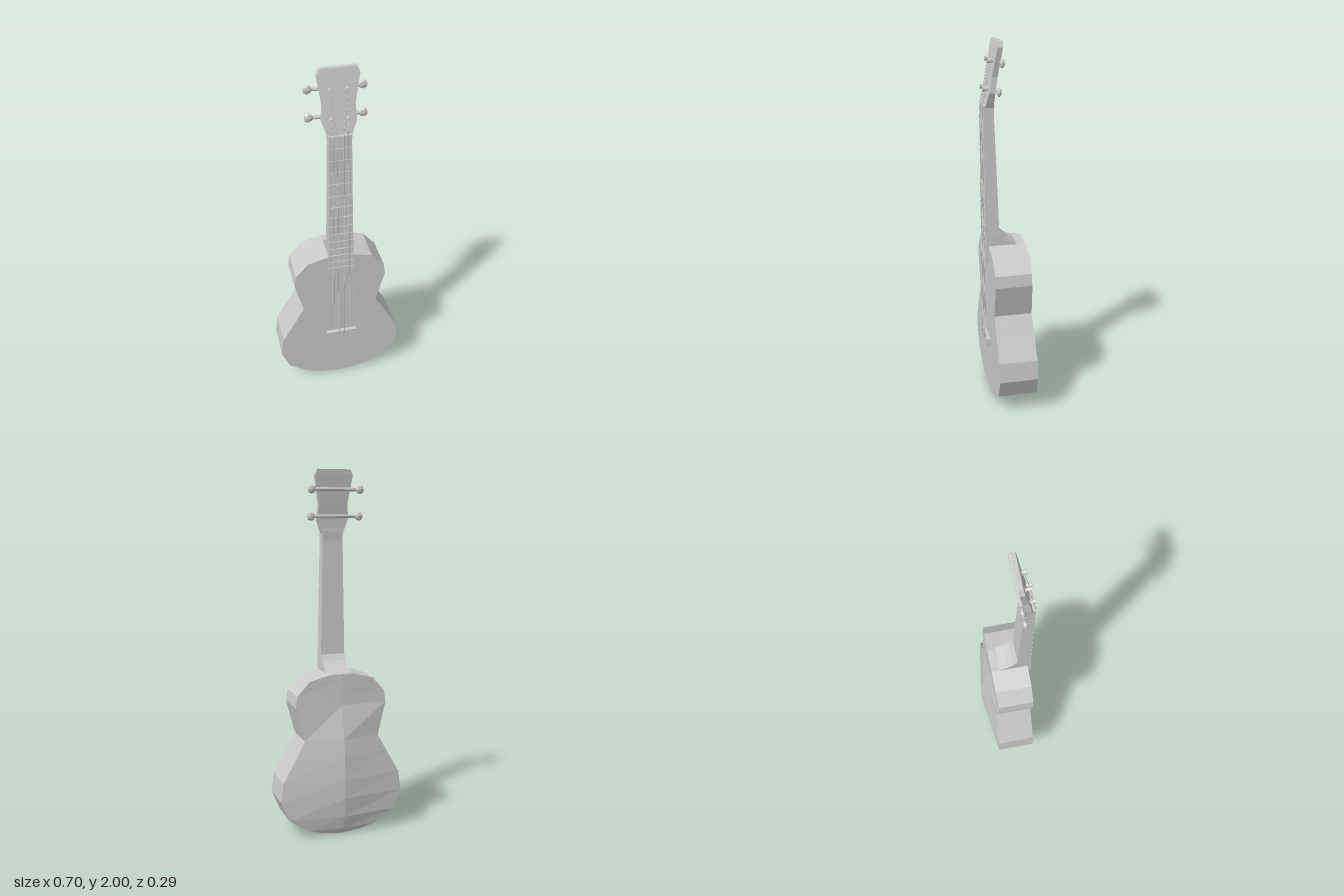
import * as THREE from 'three';

const material = new THREE.MeshStandardMaterial({ color: 0xcccccc, flatShading: true, side: THREE.DoubleSide });
const CX = -0.007; // centre line of the body

function add(parent, name, geometry, x = 0, y = 0, z = 0) {
  const mesh = new THREE.Mesh(geometry, material);
  mesh.name = name;
  mesh.position.set(x, y, z);
  parent.add(mesh);
  return mesh;
}

// Faceted solid through stacked loops of [x, y, z] points, capped at both ends
function loft(loops) {
  const pos = [];
  const tri = (a, b, c) => pos.push(...a, ...b, ...c);
  const n = loops[0].length;
  for (let r = 0; r < loops.length - 1; r++) {
    for (let i = 0; i < n; i++) {
      const j = (i + 1) % n;
      tri(loops[r][i], loops[r][j], loops[r + 1][j]);
      tri(loops[r][i], loops[r + 1][j], loops[r + 1][i]);
    }
  }
  const bottom = loops[0], top = loops[loops.length - 1];
  for (let i = 1; i < n - 1; i++) {
    tri(bottom[0], bottom[i + 1], bottom[i]);
    tri(top[0], top[i], top[i + 1]);
  }
  const g = new THREE.BufferGeometry();
  g.setAttribute('position', new THREE.Float32BufferAttribute(pos, 3));
  g.computeVertexNormals();
  return g;
}

// Rectangular section: height, left x, right x, front z, back z
const slab = ([y, l, r, f, b]) => [[l, y, f], [r, y, f], [r, y, b], [l, y, b]];

// Thin rod between two points
function rod(parent, name, a, b, radius, sides = 5) {
  const dir = b.clone().sub(a);
  const mesh = add(parent, name, new THREE.CylinderGeometry(radius, radius, dir.length(), sides));
  mesh.position.copy(a).addScaledVector(dir, 0.5);
  mesh.quaternion.setFromUnitVectors(new THREE.Vector3(0, 1, 0), dir.normalize());
}

export function createModel() {
  const model = new THREE.Group();
  model.name = 'ukulele';

  // Body: height, half width, rim z, back ridge z
  const bodyRows = [
    [0, 0.03, -0.09, -0.095], [0.01, 0.11, -0.092, -0.1], [0.035, 0.195, -0.095, -0.112],
    [0.108, 0.308, -0.097, -0.131], [0.217, 0.352, -0.094, -0.143], [0.325, 0.338, -0.092, -0.143],
    [0.455, 0.264, -0.09, -0.134], [0.55, 0.212, -0.087, -0.122], [0.735, 0.26, -0.078, -0.086],
    [0.8, 0.25, -0.076, -0.085], [0.878, 0.18, -0.08, -0.084], [0.908, 0.065, -0.082, -0.083],
  ];
  const frontZ = (y) => 0.116 + 0.008 * y;
  add(model, 'body', loft(bodyRows.map(([y, w, rim, ridge]) => [
    [CX - w, y, frontZ(y)], [CX + w, y, frontZ(y)], [CX + w, y, rim], [CX, y, ridge], [CX - w, y, rim],
  ])));

  // Sound hole and bridge
  const hole = add(model, 'soundHole', new THREE.CircleGeometry(0.088, 24), 0, 0.625, 0.1225);
  hole.rotation.x = -0.008;
  add(model, 'bridge', new THREE.BoxGeometry(0.178, 0.04, 0.024), 0, 0.33, 0.129);

  // Neck with curved heel
  add(model, 'neck', loft([
    [0.87, -0.073, 0.065, 0.125, -0.058], [0.905, -0.073, 0.065, 0.125, -0.04],
    [0.935, -0.073, 0.065, 0.125, 0.01], [0.962, -0.073, 0.065, 0.125, 0.042],
    [0.995, -0.073, 0.064, 0.126, 0.064], [1.3, -0.071, 0.055, 0.128, 0.074],
    [1.62, -0.07, 0.046, 0.13, 0.086], [1.67, -0.07, 0.045, 0.13, 0.083],
  ].map(slab)));

  // Fretboard, nut and frets
  const edge = (y) => 0.065 - 0.023 * (y - 0.8);
  add(model, 'fretboard', loft([
    [0.805, -0.073, 0.065, 0.137, 0.121], [1.66, -0.07, 0.045, 0.139, 0.127],
  ].map(slab)));
  add(model, 'nut', new THREE.BoxGeometry(0.115, 0.014, 0.016), -0.0125, 1.665, 0.135);
  for (const y of [0.84, 0.88, 0.925, 0.97, 1.02, 1.07, 1.12, 1.18, 1.245, 1.315, 1.39, 1.46, 1.53, 1.6]) {
    const w = edge(y) + 0.071;
    add(model, 'fret', new THREE.BoxGeometry(w, 0.007, 0.005), edge(y) - w / 2, y, 0.14);
  }

  // Tilted headstock
  add(model, 'headstock', loft([
    [1.66, -0.07, 0.045, 0.13, 0.084], [1.69, -0.083, 0.057, 0.125, 0.086],
    [1.74, -0.1, 0.076, 0.115, 0.083], [1.82, -0.092, 0.07, 0.101, 0.07],
    [1.97, -0.115, 0.098, 0.075, 0.048], [2.0, -0.1, 0.085, 0.069, 0.045],
  ].map(slab)));

  // Tuners: a shaft across the back, a post and a flattened knob on each side
  const knobProfile = [[0.001, 0], [0.01, 0], [0.009, 0.022], [0.021, 0.034], [0.024, 0.048], [0.018, 0.062], [0.001, 0.067]]
    .map(([r, y]) => new THREE.Vector2(r, y));
  const tuners = [{ y: 1.895, z: 0.056, tip: 0.114 }, { y: 1.752, z: 0.072, tip: 0.14 }];
  for (const { y, z, tip } of tuners) {
    const group = new THREE.Group();
    group.name = 'tunerPair';
    model.add(group);
    rod(group, 'tunerShaft', new THREE.Vector3(-0.13, y, z), new THREE.Vector3(0.09, y, z), 0.01, 8);
    for (const side of [-1, 1]) {
      const knob = add(group, 'tunerKnob', new THREE.LatheGeometry(knobProfile, 8), side < 0 ? -0.113 : 0.071, y, z);
      knob.rotation.z = -side * Math.PI / 2;
      knob.scale.z = 0.55;
      const px = side < 0 ? -0.055 : 0.031;
      rod(group, 'stringPost', new THREE.Vector3(px, y, z), new THREE.Vector3(px, y + 0.006, tip), 0.009, 8);
      rod(group, 'postCap', new THREE.Vector3(px, y + 0.004, tip - 0.012), new THREE.Vector3(px, y + 0.006, tip), 0.013, 8);
    }
  }

  // Strings: bridge x, nut x, post x, tuner index
  for (const [bx, nx, px, t] of [[-0.045, -0.052, -0.055, 1], [-0.017, -0.03, -0.055, 0], [0.017, 0.003, 0.031, 0], [0.046, 0.026, 0.031, 1]]) {
    const bridge = new THREE.Vector3(bx, 0.33, 0.142);
    const nut = new THREE.Vector3(nx, 1.665, 0.144);
    const post = new THREE.Vector3(px, tuners[t].y, tuners[t].tip - 0.014);
    rod(model, 'string', bridge, nut, 0.0015, 4);
    rod(model, 'stringEnd', nut, post, 0.0015, 4);
  }
  return model;
}
